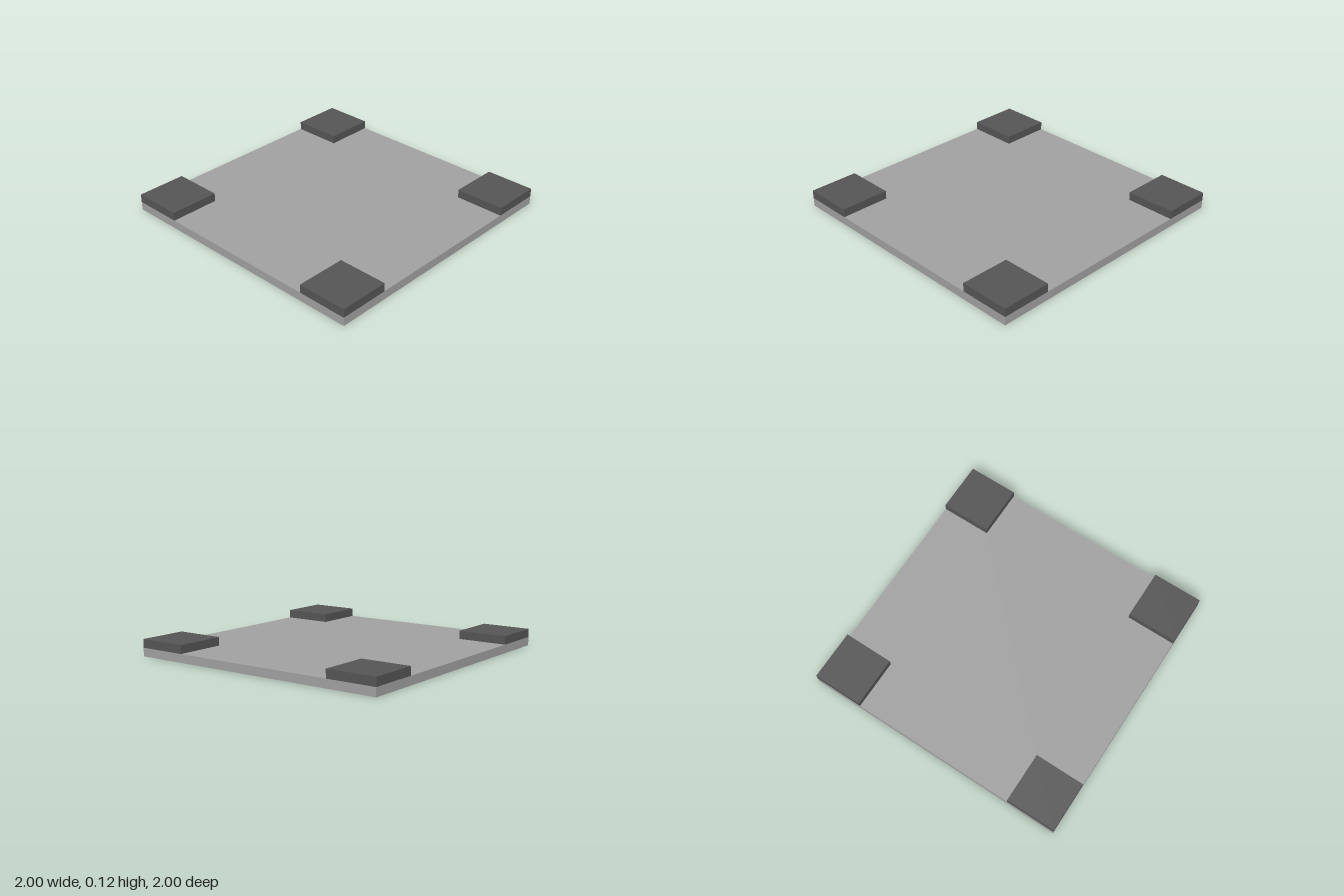
import * as THREE from 'three';

export function createModel() {
  const model = new THREE.Group();
  model.name = 'platform';

  const lightGrey = new THREE.MeshStandardMaterial({ color: 0xa0a0a0 });
  lightGrey.name = 'light grey';
  const darkGrey = new THREE.MeshStandardMaterial({ color: 0x555555 });
  darkGrey.name = 'dark grey';

  const thickness = 0.0625;
  const padSize = 0.375;

  // Square base slab
  const slab = new THREE.Mesh(new THREE.BoxGeometry(2, thickness, 2), lightGrey);
  slab.name = 'baseSlab';
  slab.position.y = thickness / 2;
  model.add(slab);

  // Raised pad flush with each corner
  const padGeometry = new THREE.BoxGeometry(padSize, thickness, padSize);
  const offset = 1 - padSize / 2;
  for (const [sx, xName] of [[1, 'Left'], [-1, 'Right']]) {
    for (const [sz, zName] of [[1, 'front'], [-1, 'back']]) {
      const pad = new THREE.Mesh(padGeometry, darkGrey);
      pad.name = `${zName}${xName}CornerPad`;
      pad.position.set(sx * offset, thickness * 1.5, sz * offset);
      model.add(pad);
    }
  }

  return model;
}
